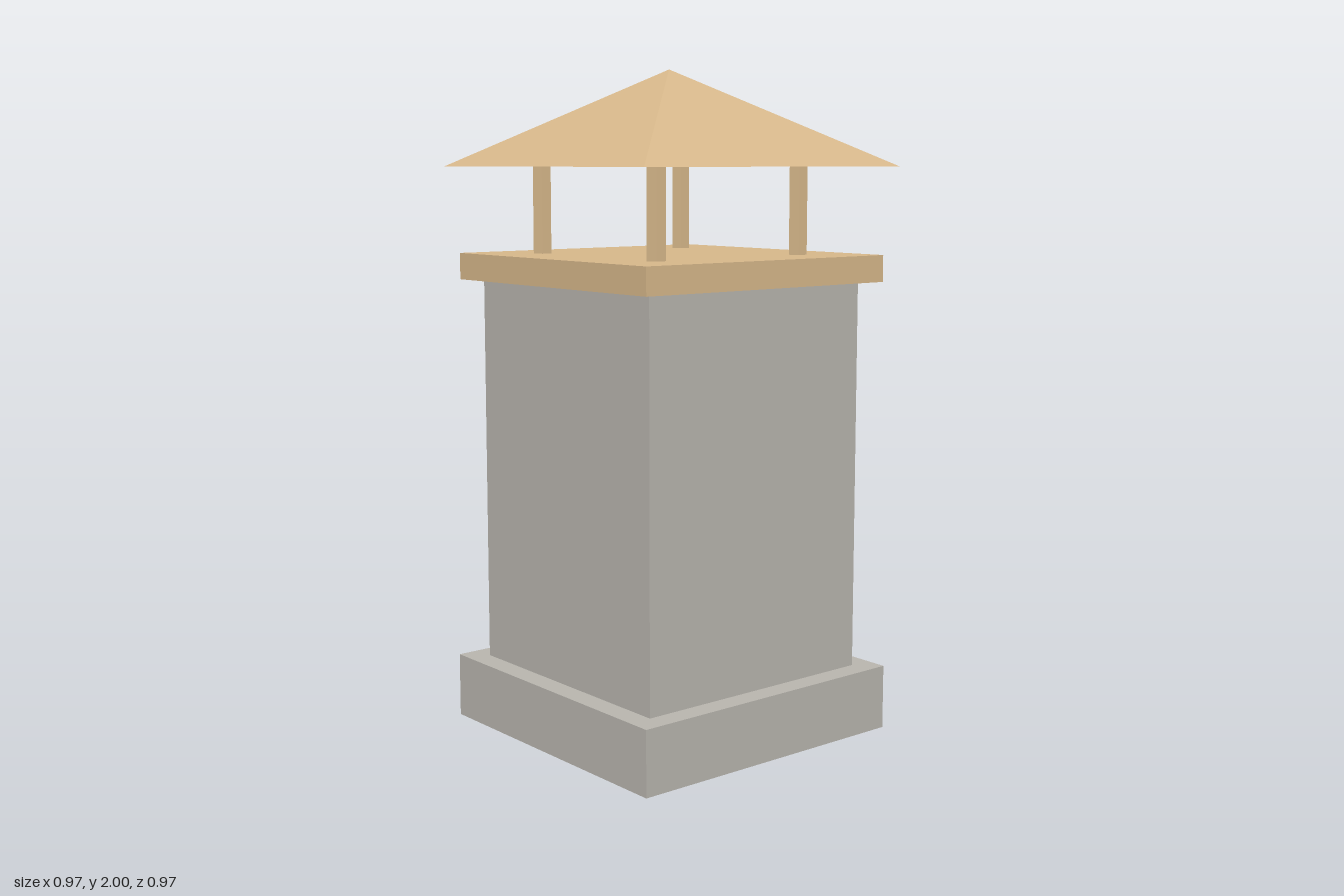
import * as THREE from 'three';

export function createModel() {
  const model = new THREE.Group();
  model.name = 'chimney';

  const stone = new THREE.MeshStandardMaterial({ color: 0xb8b5ae });
  stone.name = 'grey stone';
  const clay = new THREE.MeshStandardMaterial({ color: 0xd6b78a });
  clay.name = 'tan clay';

  const add = (name, geometry, material, x, y, z) => {
    const mesh = new THREE.Mesh(geometry, material);
    mesh.name = name;
    mesh.position.set(x, y, z);
    model.add(mesh);
    return mesh;
  };

  // Square slab from its half width and its bottom and top heights
  const slab = (name, half, bottom, top, material) =>
    add(name, new THREE.BoxGeometry(half * 2, top - bottom, half * 2), material, 0, (bottom + top) / 2, 0);

  slab('base', 0.468, 0, 0.195, stone);
  slab('stack', 0.4, 0.195, 1.375, stone);
  slab('capSlab', 0.452, 1.375, 1.455, clay);

  // Four five-sided posts, each with a flat side to the front
  const postGeometry = new THREE.CylinderGeometry(0.028, 0.028, 0.27, 5, 1, false, Math.PI).toNonIndexed();
  postGeometry.computeVertexNormals();
  for (const x of [-0.272, 0.272]) {
    for (const z of [-0.272, 0.272]) {
      const name = (z > 0 ? 'front' : 'back') + (x > 0 ? 'Left' : 'Right') + 'Post';
      add(name, postGeometry, clay, x, 1.585, z);
    }
  }

  // Pyramid roof, closed underneath
  const roofGeometry = new THREE.ConeGeometry(0.484 * Math.SQRT2, 0.285, 4, 1, false, Math.PI / 4).toNonIndexed();
  roofGeometry.computeVertexNormals();
  add('roof', roofGeometry, clay, 0, 1.8575, 0);

  return model;
}
